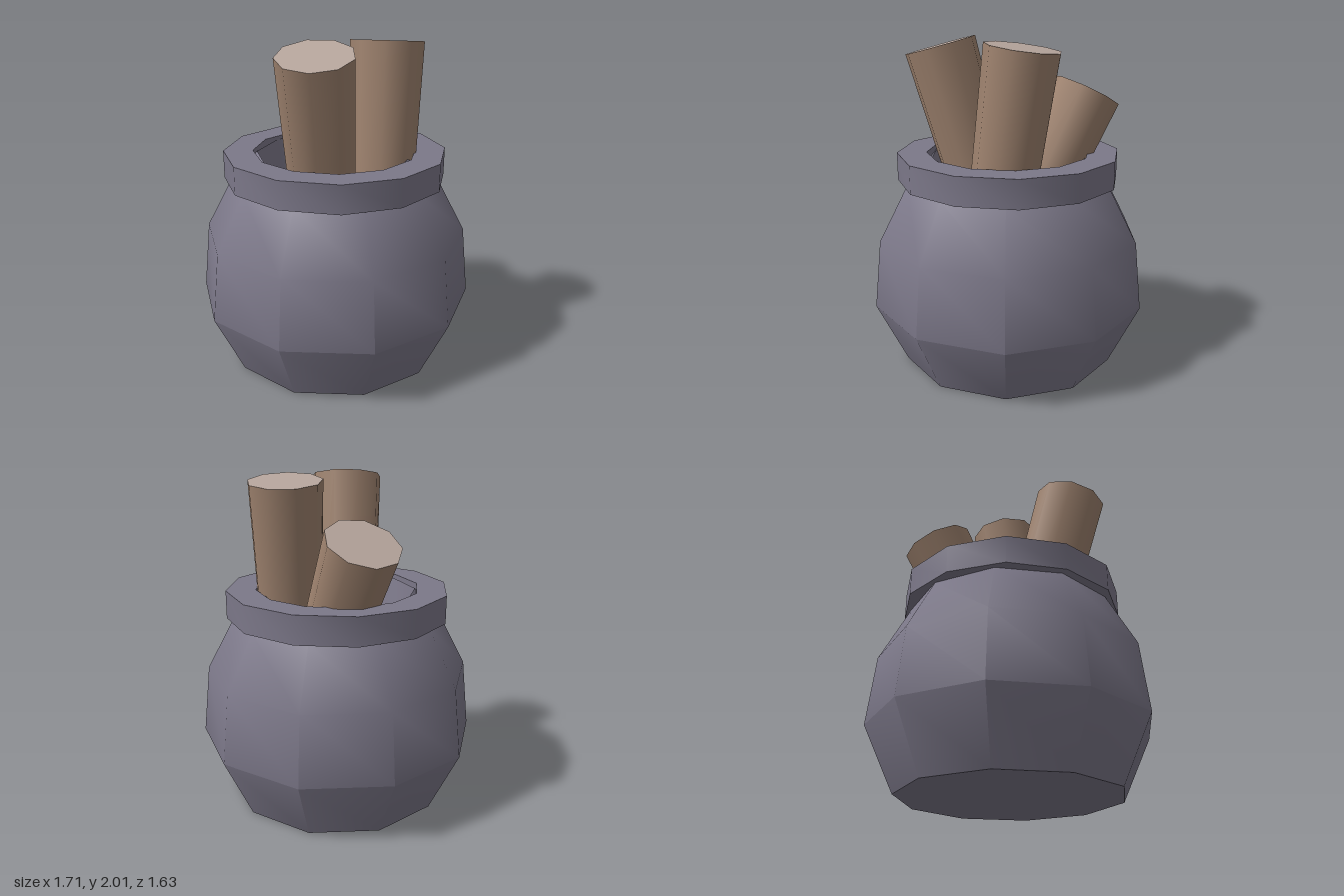
import * as THREE from 'three';
import { toCreasedNormals } from 'three/addons/utils/BufferGeometryUtils.js';

// Lathe from [radius, y] pairs, smooth around and sharp at folds
function turned(profile, sides, startAngle) {
  const points = profile.map(([r, y]) => new THREE.Vector2(r, y));
  return toCreasedNormals(new THREE.LatheGeometry(points, sides, startAngle), 0.8);
}

export function createModel() {
  const model = new THREE.Group();
  const clay = new THREE.MeshStandardMaterial({ name: 'grey clay', color: 0x7c7889 });
  const bark = new THREE.MeshStandardMaterial({ name: 'brown bark', color: 0x9f836f });
  const cutWood = new THREE.MeshStandardMaterial({ name: 'pale cut wood', color: 0xb7a69d });

  const add = (name, geometry, material) => {
    const mesh = new THREE.Mesh(geometry, material);
    mesh.name = name;
    model.add(mesh);
    return mesh;
  };

  // Ten-sided pot with a shallow well inside
  add('pot', turned([
    [0, 0], [0.67, 0], [0.855, 0.39], [0.81, 0.81], [0.63, 1.15],
    [0.48, 1.3], [0.41, 0.95], [0, 0.95],
  ], 10, Math.PI / 2), clay);

  // Twelve-sided collar around the mouth
  add('rim', turned([
    [0.5, 1.15], [0.68, 1.15], [0.68, 1.32], [0.5, 1.32], [0.5, 1.15],
  ], 12, 0), clay);

  // Leaning logs: centre of the sunken foot, centre of the cut top
  const logs = [
    ['frontRightLog', [-0.12, 0.9, 0.07], [-0.31, 1.95, 0.285]],
    ['leftLog', [0.2, 0.9, 0.21], [0.3, 1.967, 0.11]],
    ['backLog', [0.12, 0.88, -0.04], [0.19, 1.672, -0.45]],
  ];
  const up = new THREE.Vector3(0, 1, 0);
  for (const [name, foot, top] of logs) {
    const a = new THREE.Vector3(...foot);
    const b = new THREE.Vector3(...top);
    const axis = b.clone().sub(a);
    const geometry = new THREE.CylinderGeometry(0.223, 0.195, axis.length(), 9);
    const log = add(name, geometry, [bark, cutWood, cutWood]);
    log.position.copy(a).add(b).multiplyScalar(0.5);
    log.quaternion.setFromUnitVectors(up, axis.normalize());
  }
  return model;
}
